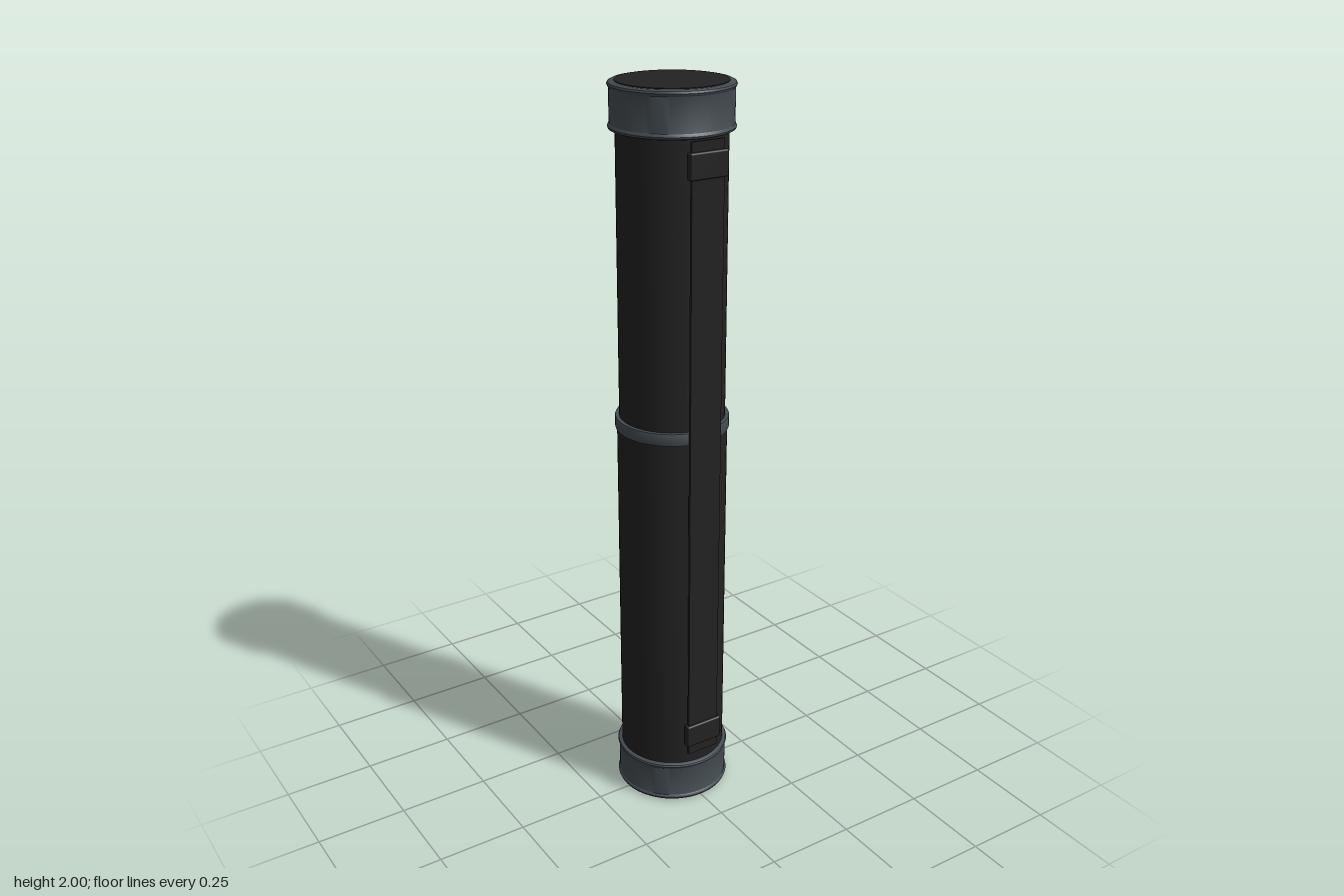
import * as THREE from 'three';
import { toCreasedNormals } from 'three/addons/utils/BufferGeometryUtils.js';
import { RoundedBoxGeometry } from 'three/addons/geometries/RoundedBoxGeometry.js';

const CENTRE_Z = -0.005;

export function createModel() {
  const model = new THREE.Group();
  model.name = 'documentTube';
  const black = new THREE.MeshStandardMaterial({ color: 0x222222 });
  black.name = 'matte black';
  const grey = new THREE.MeshStandardMaterial({ color: 0x454d53 });
  grey.name = 'slate grey';

  const add = (name, geometry, material, x, y, z) => {
    const mesh = new THREE.Mesh(geometry, material);
    mesh.name = name;
    mesh.position.set(x, y, z);
    model.add(mesh);
    return mesh;
  };
  // Turned part from [radius, height] points, bottom to top
  const turned = (name, points, material) => {
    const lathe = new THREE.LatheGeometry(points.map(([r, y]) => new THREE.Vector2(r, y)), 64);
    return add(name, toCreasedNormals(lathe, 0.6), material, 0, 0, CENTRE_Z);
  };

  // Telescoping body
  turned('lowerTube', [[0, 0.05], [0.146, 0.05], [0.146, 1.11], [0, 1.11]], black);
  turned('upperTube', [[0, 1.05], [0.14, 1.05], [0.14, 1.95], [0, 1.95]], black);
  turned('joinRing', [[0.138, 1.103], [0.15, 1.103], [0.151, 1.106], [0.151, 1.133], [0.15, 1.136], [0.138, 1.136]], grey);

  // End caps with raised rolled rims
  const cap = (name, y0, y1) => turned(name, [
    [0, y0], [0.15, y0], [0.156, y0 + 0.003], [0.158, y0 + 0.008], [0.156, y0 + 0.013], [0.154, y0 + 0.015],
    [0.154, y1 - 0.015], [0.156, y1 - 0.013], [0.158, y1 - 0.008], [0.156, y1 - 0.003], [0.15, y1], [0, y1],
  ], grey);
  cap('bottomCap', 0.002, 0.122);
  cap('topCap', 1.882, 1.998);

  // Black end discs
  for (const [name, y] of [['bottomDisc', 0.002], ['topDisc', 1.998]]) {
    add(name, new THREE.CylinderGeometry(0.14, 0.14, 0.004, 64), black, 0, y, CENTRE_Z);
  }

  // Carrying strap down the front with a buckle near each end
  add('strap', new THREE.BoxGeometry(0.094, 1.72, 0.007), black, 0, 1.02, 0.15);
  for (const [name, y] of [['lowerBuckle', 0.222], ['upperBuckle', 1.822]]) {
    add(name, new RoundedBoxGeometry(0.11, 0.066, 0.022, 3, 0.005), black, 0, y, 0.151);
  }
  // Strap mounts joining the buckles to the tube
  for (const [name, y] of [['lowerMount', 0.222], ['upperMount', 1.822]]) {
    add(name, new THREE.BoxGeometry(0.06, 0.04, 0.03), black, 0, y, 0.133);
  }
  return model;
}
